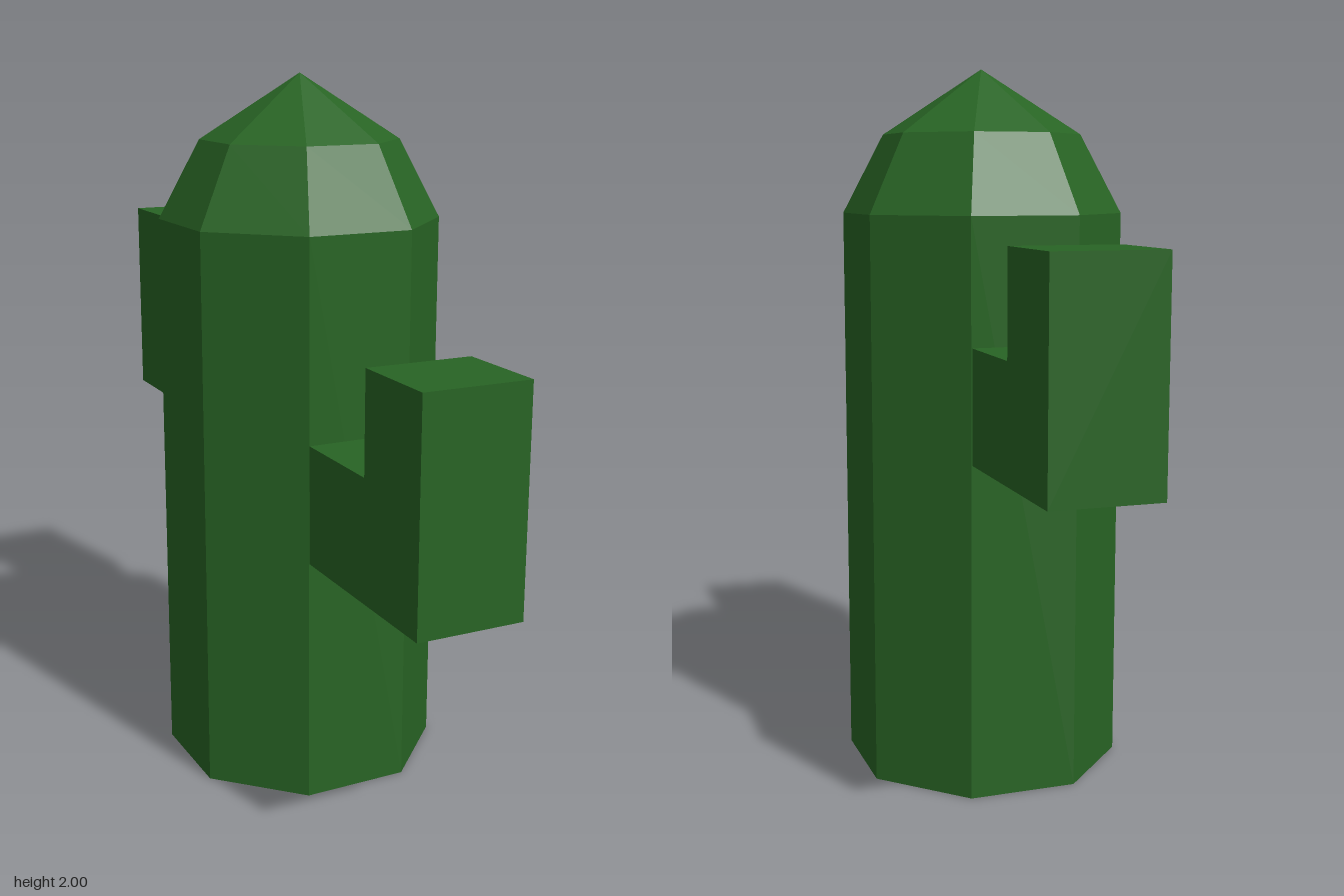
import * as THREE from 'three';

const green = new THREE.MeshStandardMaterial({ color: 0x286424, flatShading: true });

// L-shaped arm: runs outward from the trunk, then turns straight up
function makeArm(name, { bottom, elbow, top, inner, outer, x, turn }) {
  const profile = new THREE.Shape([
    [0.3, bottom], [outer, bottom], [outer, top],
    [inner, top], [inner, elbow], [0.3, elbow],
  ].map(([u, v]) => new THREE.Vector2(u, v)));
  const width = 0.302;
  const geometry = new THREE.ExtrudeGeometry(profile, { depth: width, bevelEnabled: false });
  geometry.translate(0, 0, -width / 2).rotateY(turn);
  const arm = new THREE.Mesh(geometry, green);
  arm.name = name;
  arm.position.x = x;
  return arm;
}

export function createModel() {
  const cactus = new THREE.Group();
  cactus.name = 'cactus';

  // Eight-sided trunk with a two-tier pointed crown, flat side to the front
  const outline = [[0, 0], [0.398, 0], [0.398, 1.6], [0.281, 1.82], [0, 2]]
    .map(([r, y]) => new THREE.Vector2(r, y));
  const trunk = new THREE.Mesh(new THREE.LatheGeometry(outline, 8, Math.PI / 8), green);
  trunk.name = 'trunk';
  trunk.position.z = -0.01;
  trunk.rotation.y = 0.012;
  cactus.add(trunk);

  // Lower arm in front, higher arm behind
  cactus.add(
    makeArm('frontArm', {
      bottom: 0.705, elbow: 1.04, top: 1.32, inner: 0.67, outer: 0.945, x: 0.004, turn: -Math.PI / 2,
    }),
    makeArm('backArm', {
      bottom: 0.94, elbow: 1.255, top: 1.535, inner: 0.66, outer: 0.945, x: -0.006, turn: Math.PI / 2,
    }),
  );
  return cactus;
}
